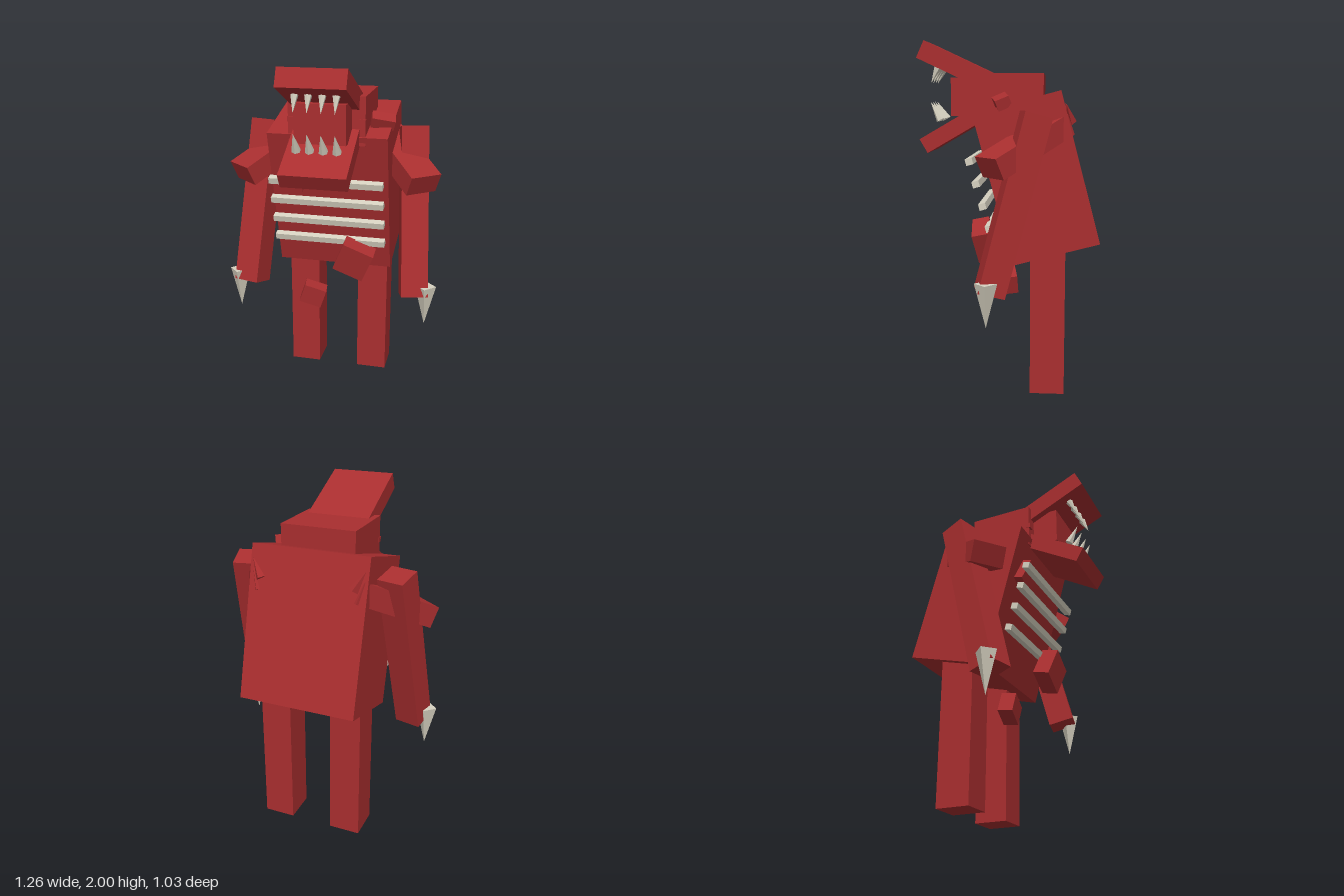
import * as THREE from 'three';

export function createModel() {
  const model = new THREE.Group();
  const flesh = new THREE.MeshStandardMaterial({ color: 0xa92e2f, flatShading: true });
  flesh.name = 'red flesh';
  const bone = new THREE.MeshStandardMaterial({ color: 0xd6d1c0, flatShading: true });
  bone.name = 'pale bone';

  const add = (name, geometry, material, position, rotation = [0, 0, 0], order = 'XYZ') => {
    const mesh = new THREE.Mesh(geometry, material);
    mesh.name = name;
    mesh.position.set(...position);
    mesh.rotation.set(...rotation, order);
    model.add(mesh);
    return mesh;
  };
  const box = (name, size, position, rotation, order) =>
    add(name, new THREE.BoxGeometry(...size), flesh, position, rotation, order);

  // Spike running from the centre of its base to its tip
  const spike = (name, material, radius, sides, base, tip) => {
    const a = new THREE.Vector3(...base), b = new THREE.Vector3(...tip);
    const dir = b.clone().sub(a);
    const mesh = add(name, new THREE.ConeGeometry(radius, dir.length(), sides), material,
      a.clone().add(b).multiplyScalar(0.5).toArray());
    mesh.quaternion.setFromUnitVectors(new THREE.Vector3(0, 1, 0), dir.normalize());
    return mesh;
  };

  const lean = 0.26;

  // Body and head
  box('torso', [0.68, 0.863, 0.496], [0, 1.24, -0.163], [lean, 0, 0]);
  box('head', [0.434, 0.27, 0.375], [0, 1.68, -0.008]);
  box('mouthInterior', [0.285, 0.215, 0.2], [0, 1.685, 0.23]);
  box('upperJaw', [0.367, 0.105, 0.55], [0, 1.832, 0.246], [-0.436, 0, 0]);
  box('lowerJaw', [0.367, 0.09, 0.45], [0, 1.522, 0.289], [0.524, 0, 0]);

  // Teeth
  for (const x of [-0.11, -0.037, 0.037, 0.11]) {
    spike('upperTooth', bone, 0.024, 6, [x, 1.86, 0.402], [x, 1.762, 0.447]);
    spike('lowerTooth', bone, 0.026, 6, [x, 1.555, 0.395], [x, 1.658, 0.452]);
  }

  // Ribs standing in front of the chest
  for (let i = 0; i < 4; i++) {
    add('rib', new THREE.BoxGeometry(0.65, 0.036, 0.04), bone,
      [0, 1.334 - i * 0.124, 0.208 - i * 0.036], [lean, 0, 0]);
  }

  // Paired parts
  for (const s of [1, -1]) {
    box('leg', [0.183, 0.95, 0.195], [s * 0.217, 0.475, -0.227]);
    box('eye', [0.035, 0.03, 0.03], [s * 0.202, 1.678, 0.175]);

    // Upper arm runs from the back of the shoulder forwards and outwards
    const dir = new THREE.Vector3(s * 0.58, -0.42, 0.7).normalize();
    const length = 0.52;
    const end = new THREE.Vector3(s * 0.5325, 1.32, 0.077);
    const upperArm = box('upperArm', [0.193, 0.122, length],
      end.clone().addScaledVector(dir, -length / 2).toArray());
    upperArm.lookAt(end.clone().add(dir));

    box('forearm', [0.155, 0.985, 0.15], [s * 0.468, 1.12, -0.04], [-lean, s * 0.24, 0], 'YXZ');
    spike('handClaw', bone, 0.062, 4, [s * 0.57, 0.715, 0.095], [s * 0.57, 0.472, 0.095]);
    spike('backSpike', flesh, 0.028, 4, [s * 0.268, 1.548, -0.35], [s * 0.325, 1.65, -0.32]);
  }

  // Loose lumps of flesh
  box('bellyLump', [0.185, 0.185, 0.1], [0.155, 0.868, 0.145], [0.2, 0, -0.4]);
  box('hipLump', [0.135, 0.12, 0.085], [-0.126, 0.558, 0.015], [0.1, 0.15, -0.34]);
  box('chestLump', [0.13, 0.15, 0.12], [-0.19, 1.35, 0.115], [0.25, 0, -0.35]);
  box('shoulderLump', [0.13, 0.06, 0.08], [0.287, 1.66, 0.03], [0.4, 0.15, -0.25]);

  return model;
}
